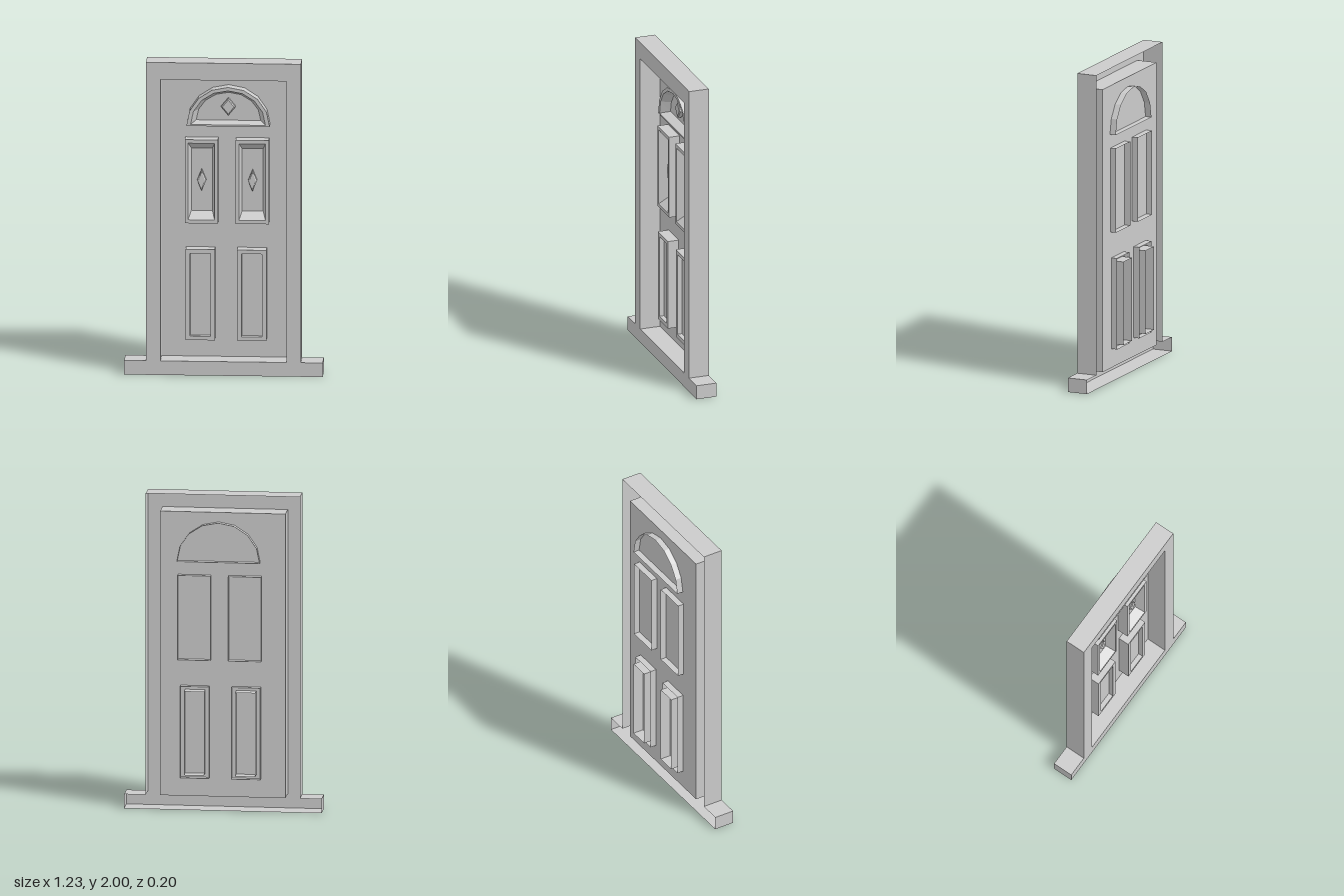
import * as THREE from 'three';

const mat = new THREE.MeshStandardMaterial({ color: 0xcccccc, flatShading: true, side: THREE.DoubleSide });

// counter-clockwise outlines in the xy plane
const rect = (cx, cy, w, h) => [
  [cx - w / 2, cy - h / 2], [cx + w / 2, cy - h / 2],
  [cx + w / 2, cy + h / 2], [cx - w / 2, cy + h / 2],
];
const diamond = (cx, cy, w, h) => [[cx, cy - h], [cx + w, cy], [cx, cy + h], [cx - w, cy]];
const arch = (cx, y, w, h, n = 8) => Array.from({ length: n + 1 }, (_, i) => {
  const a = (i / n) * Math.PI;
  return [cx + w * Math.cos(a), y + h * Math.sin(a)];
});
const toShape = (pts) => new THREE.Shape(pts.map(([x, y]) => new THREE.Vector2(x, y)));

function addMesh(group, name, geometry) {
  const mesh = new THREE.Mesh(geometry, mat);
  mesh.name = name;
  group.add(mesh);
  return mesh;
}

// flat sheet at depth z, with an optional hole
function sheet(group, name, pts, z, hole) {
  const shape = toShape(pts);
  if (hole) shape.holes.push(toShape(hole));
  addMesh(group, name, new THREE.ShapeGeometry(shape)).position.z = z;
}

// walls joining successive [outline, z] rings
function walls(group, name, rings) {
  const pos = [];
  for (let r = 0; r < rings.length - 1; r++) {
    const [p, z0] = rings[r];
    const [q, z1] = rings[r + 1];
    for (let i = 0; i < p.length; i++) {
      const j = (i + 1) % p.length;
      const a = [...p[i], z0], b = [...p[j], z0], c = [...q[j], z1], d = [...q[i], z1];
      pos.push(...a, ...b, ...c, ...a, ...c, ...d);
    }
  }
  const g = new THREE.BufferGeometry();
  g.setAttribute('position', new THREE.Float32BufferAttribute(pos, 3));
  g.computeVertexNormals();
  addMesh(group, name, g);
}

const FRONT = 0.1, DOOR = -0.03, TRIM = 0.04, TRIM_BACK = -0.07, GLASS = -0.02;

// open-backed moulding sloping in to a pane with a raised diamond
function glazedPanel(parent, name, outer, lip, pane, gem, gemInner) {
  const g = new THREE.Group();
  g.name = name;
  walls(g, 'moulding', [[outer, TRIM_BACK], [outer, TRIM], [lip, TRIM], [pane, GLASS]]);
  sheet(g, 'pane', pane, GLASS);
  walls(g, 'diamond', [[gem, GLASS], [gem, 0.005], [gemInner, 0.01]]);
  sheet(g, 'diamondFace', gemInner, 0.01);
  parent.add(g);
}

export function createModel() {
  const model = new THREE.Group();
  model.name = 'door';

  // Surround and sill: one open-backed shell with a deep reveal
  const frame = new THREE.Group();
  frame.name = 'frame';
  const outline = [
    [-0.615, 0], [0.615, 0], [0.615, 0.09], [0.48, 0.09],
    [0.48, 2], [-0.48, 2], [-0.48, 0.09], [-0.615, 0.09],
  ];
  const opening = rect(0, 0.99, 0.78, 1.8);
  walls(frame, 'outerWalls', [[outline, DOOR], [outline, FRONT]]);
  sheet(frame, 'frontFace', outline, FRONT, opening);
  walls(frame, 'reveal', [[opening, FRONT], [opening, DOOR]]);
  model.add(frame);

  // Door leaf
  sheet(model, 'doorLeaf', opening, DOOR);

  // Fanlight
  const ax = 0.025;
  glazedPanel(model, 'fanlight',
    arch(ax, 1.58, 0.258, 0.25), arch(ax, 1.59, 0.232, 0.218), arch(ax, 1.605, 0.2, 0.178),
    diamond(ax, 1.697, 0.045, 0.055), diamond(ax, 1.697, 0.036, 0.045));

  // Upper glazed panels
  for (const x of [-0.14, 0.175]) {
    glazedPanel(model, 'upperPanel',
      rect(x, 1.225, 0.205, 0.535), rect(x, 1.225, 0.165, 0.49), rect(x, 1.225, 0.13, 0.4),
      diamond(x, 1.225, 0.028, 0.07), diamond(x, 1.225, 0.02, 0.055));
  }

  // Lower recessed panels, stepped at the back
  for (const x of [-0.147, 0.172]) {
    const g = new THREE.Group();
    g.name = 'lowerPanel';
    const outer = rect(x, 0.5, 0.18, 0.58);
    const inner = rect(x, 0.5, 0.125, 0.53);
    walls(g, 'moulding', [[outer, TRIM_BACK], [outer, TRIM], [inner, TRIM], [inner, -0.1]]);
    sheet(g, 'panelFace', inner, 0.01);
    model.add(g);
  }

  return model;
}
